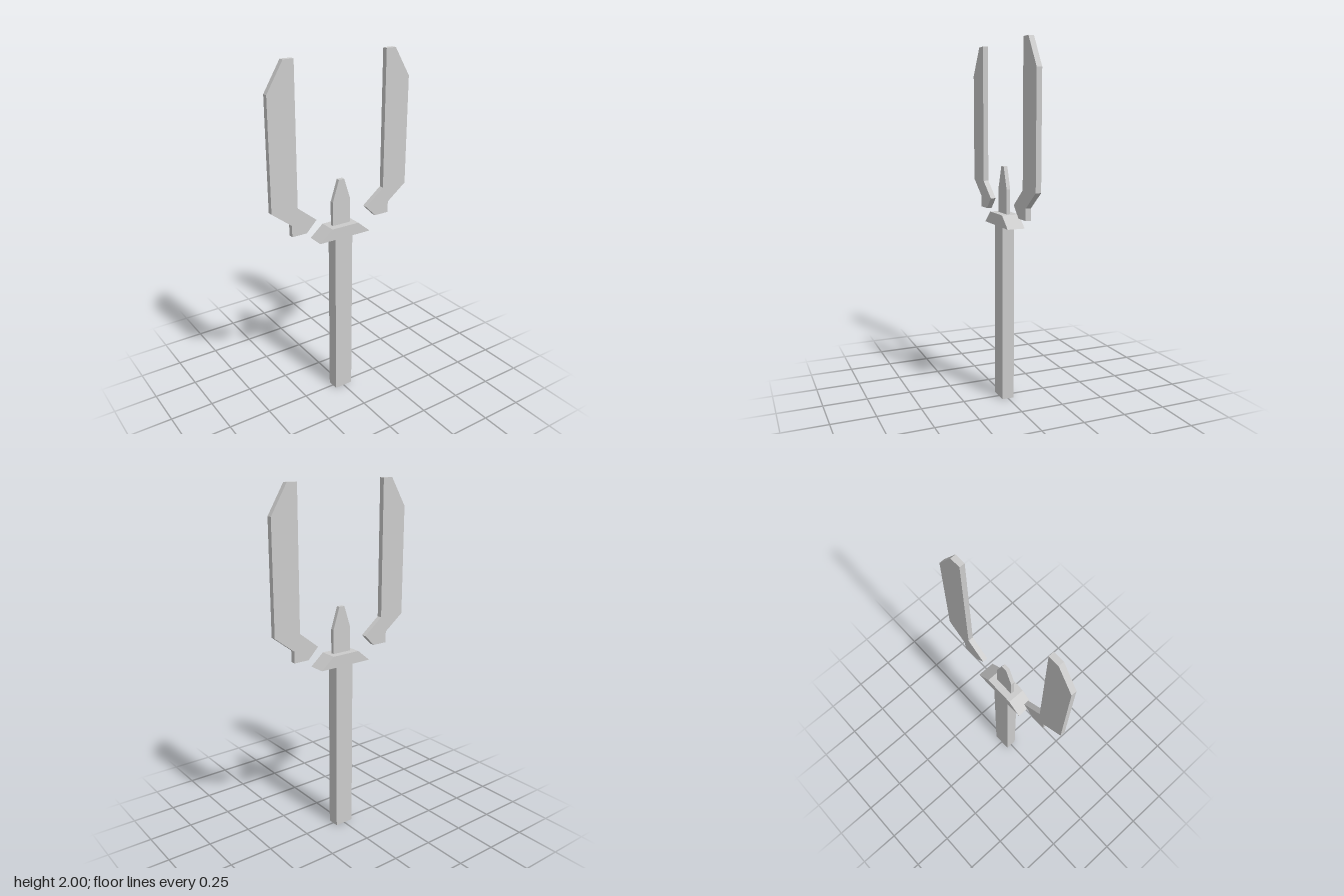
import * as THREE from 'three';

const material = new THREE.MeshStandardMaterial({ color: 0xcccccc, flatShading: true });

// Flat plate: an outline in x/y, extruded evenly about z = 0
function plate(name, points, depth) {
  const shape = new THREE.Shape(points.map(([x, y]) => new THREE.Vector2(x, y)));
  const geometry = new THREE.ExtrudeGeometry(shape, { depth, bevelEnabled: false });
  geometry.translate(0, 0, -depth / 2);
  const mesh = new THREE.Mesh(geometry, material);
  mesh.name = name;
  return mesh;
}

export function createModel() {
  const group = new THREE.Group();
  group.name = 'trident';

  // Square-cut handle
  const handle = new THREE.Mesh(new THREE.BoxGeometry(0.113, 1.005, 0.07), material);
  handle.name = 'handle';
  handle.position.y = 1.005 / 2;
  group.add(handle);

  // Sloped guard on top of the handle
  group.add(plate('guard', [[-0.165, 1.005], [0.165, 1.005], [0.086, 1.072], [-0.086, 1.072]], 0.1));

  // Short tapered centre blade
  group.add(plate('centreBlade', [
    [-0.057, 1.072], [0.057, 1.072], [0.057, 1.21], [0.017, 1.333], [-0.017, 1.333], [-0.057, 1.21],
  ], 0.022));

  // Floating side blades, mirrored left and right
  const outline = [
    [0.228, 1.072], [0.318, 1.072], [0.318, 1.137], [0.436, 1.228], [0.436, 1.842],
    [0.34, 2], [0.28, 2], [0.28, 1.228], [0.165, 1.136],
  ];
  for (const [name, side] of [['leftBlade', 1], ['rightBlade', -1]]) {
    group.add(plate(name, outline.map(([x, y]) => [x * side, y]), 0.03));
  }
  return group;
}
